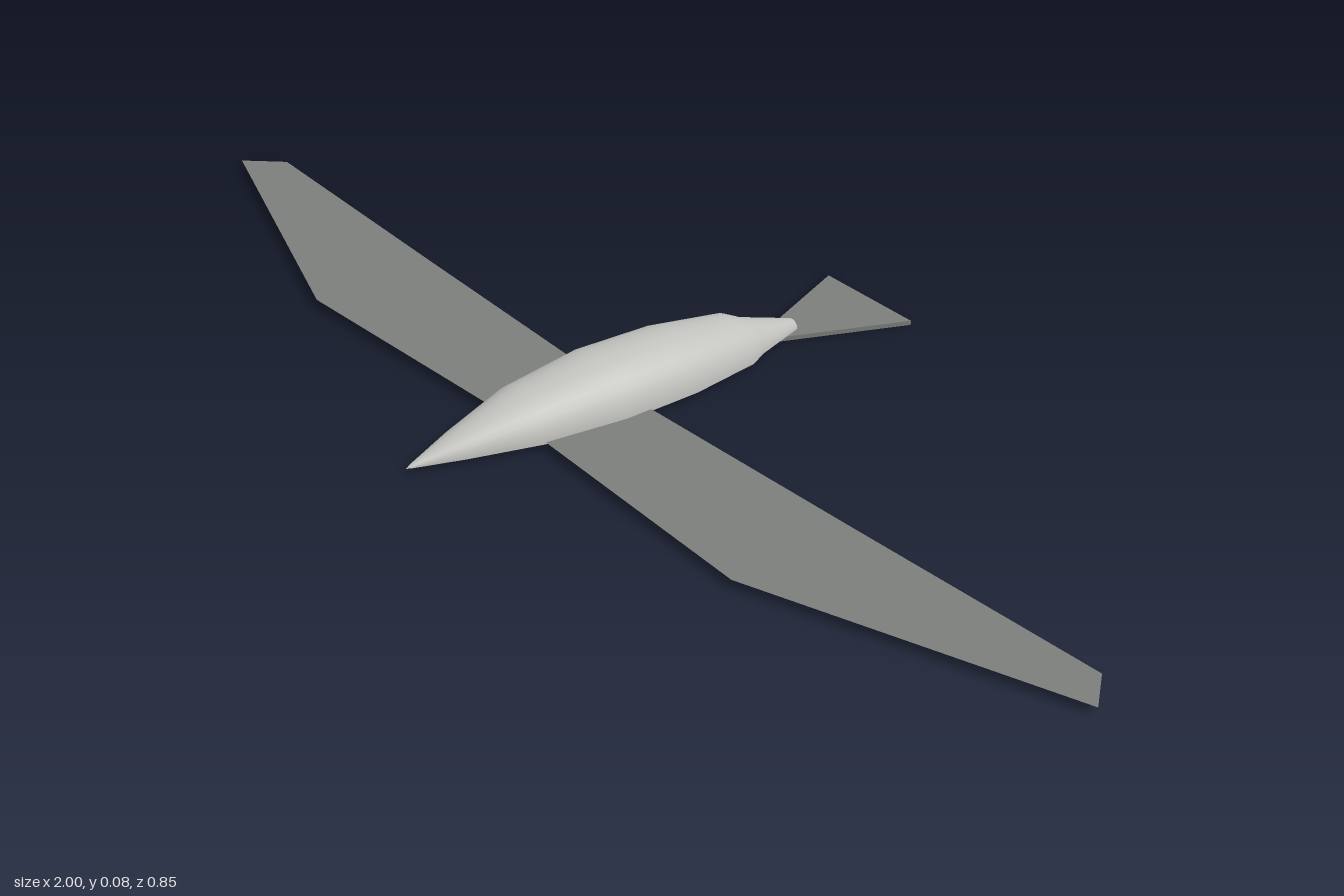
import * as THREE from 'three';

export function createModel() {
  const bodyGrey = new THREE.MeshStandardMaterial({ color: 0xc0c0bc, side: THREE.DoubleSide });
  bodyGrey.name = 'light grey';
  const wingGrey = new THREE.MeshStandardMaterial({ color: 0x7c7e7c, side: THREE.DoubleSide });
  wingGrey.name = 'dark grey';

  const model = new THREE.Group();
  model.name = 'glidingBird';
  const add = (name, geometry, material, y) => {
    const mesh = new THREE.Mesh(geometry, material);
    mesh.name = name;
    mesh.position.y = y;
    model.add(mesh);
  };
  // Outline of [x, z] points for the +x side, mirrored to the other side
  const mirrored = (half) => new THREE.Shape([
    ...half.map(([x, z]) => new THREE.Vector2(x, z)),
    ...half.filter(([x]) => x > 0).reverse().map(([x, z]) => new THREE.Vector2(-x, z)),
  ]);
  // Lays an outline flat, its y becoming z
  const flat = (half) => new THREE.ShapeGeometry(mirrored(half)).rotateX(Math.PI / 2);

  // Body: half a spindle, as [radius, z] from tail to beak
  const profile = [
    [0, -0.276], [0.012, -0.27], [0.04, -0.18], [0.055, -0.15], [0.072, -0.03],
    [0.075, 0.1], [0.06, 0.23], [0.029, 0.34], [0.004, 0.415], [0, 0.423],
  ];
  const dome = new THREE.LatheGeometry(
    profile.map(([r, z]) => new THREE.Vector2(r, z)), 16, Math.PI / 2, Math.PI);
  dome.rotateX(Math.PI / 2).scale(1.05, 1, 1);
  add('body', dome, bodyGrey, 0.008);

  // Flat underside of the body
  add('belly', flat(profile.map(([r, z]) => [r * 1.05, z])), wingGrey, 0.008);

  // Both wings as one thin sheet through the body
  add('wings', flat([
    [0, 0.055], [0.08, 0.055], [0.5, 0.04], [0.95, 0.022],
    [1, 0.078], [0.5, 0.25], [0.06, 0.23], [0, 0.23],
  ]), wingGrey, 0.011);

  // Tail fan
  const tail = new THREE.ExtrudeGeometry(
    mirrored([[0, -0.423], [0.095, -0.423], [0.002, -0.2]]),
    { depth: 0.007, bevelEnabled: false });
  add('tail', tail.rotateX(Math.PI / 2), wingGrey, 0.007);

  return model;
}
